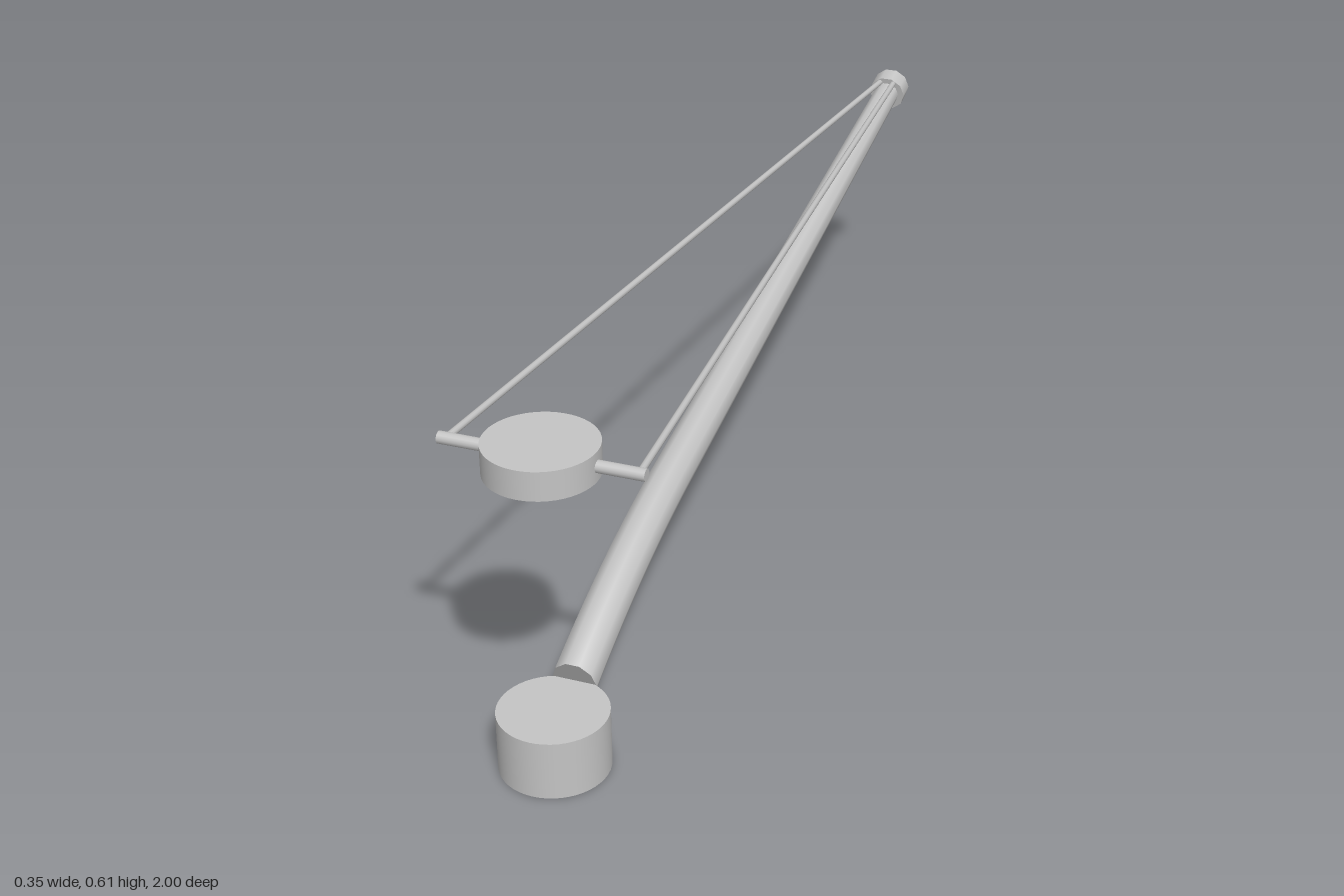
import * as THREE from 'three';

const grey = new THREE.MeshStandardMaterial({ color: 0xc4c4c4 });
grey.name = 'lightGrey';

function add(group, name, geometry) {
  const mesh = new THREE.Mesh(geometry, grey);
  mesh.name = name;
  group.add(mesh);
  return mesh;
}

// Round bar between two points
function bar(group, name, a, b, radius, sides) {
  const dir = b.clone().sub(a);
  const geo = new THREE.CylinderGeometry(radius, radius, dir.length(), sides, 1, false, Math.PI / 2);
  const mesh = add(group, name, geo);
  mesh.position.copy(a).add(b).multiplyScalar(0.5);
  mesh.quaternion.setFromUnitVectors(new THREE.Vector3(0, 1, 0), dir.normalize());
  return mesh;
}

// Tapered ten-sided boom: curved foot, then one long straight run
function boomGeometry() {
  const bend = new THREE.QuadraticBezierCurve3(
    new THREE.Vector3(0, 0.103, 0.82),
    new THREE.Vector3(0, 0.212, 0.6),
    new THREE.Vector3(0, 0.26, 0.35)
  );
  const tip = new THREE.Vector3(0, 0.512, -0.955);
  const rings = 12, tilt = 0.17;
  const geo = new THREE.CylinderGeometry(1, 1, 1, 10, rings, false, Math.PI / 2);
  geo.rotateX(-Math.PI / 2);
  const pos = geo.attributes.position, nor = geo.attributes.normal;
  const axisX = new THREE.Vector3(1, 0, 0), n = new THREE.Vector3();
  for (let i = 0; i < pos.count; i++) {
    const ring = Math.round((0.5 - pos.getZ(i)) * rings);
    const t = Math.min(ring / (rings - 1), 1);
    const c = ring < rings ? bend.getPoint(t) : tip;
    const r = THREE.MathUtils.mapLinear(c.z, 0.82, -0.955, 0.04, 0.026);
    const up = pos.getY(i) * r;
    pos.setXYZ(i, pos.getX(i) * r, c.y + up * Math.cos(tilt), c.z + up * Math.sin(tilt));
    // Turn the normals to follow the slope of the boom
    const d = bend.getTangent(t);
    n.fromBufferAttribute(nor, i).applyAxisAngle(axisX, Math.atan2(d.y, -d.z));
    nor.setXYZ(i, n.x, n.y, n.z);
  }
  return geo;
}

export function createModel() {
  const model = new THREE.Group();
  model.name = 'boomCrane';
  const v = (x, y, z) => new THREE.Vector3(x, y, z);
  const pivotZ = 0.907, pinY = 0.582;

  // Drums, one above the other
  add(model, 'base', new THREE.CylinderGeometry(0.094, 0.094, 0.107, 48)).position.set(0, 0.0535, pivotZ);
  add(model, 'upperDisc', new THREE.CylinderGeometry(0.094, 0.094, 0.051, 48)).position.set(0, pinY, pivotZ);

  // Boom and its end cap
  add(model, 'boom', boomGeometry());
  bar(model, 'boomCap', v(0, 0.511, -0.953), v(0, 0.519, -0.991), 0.039, 10);

  // Cross pin and the two stay rods
  bar(model, 'crossPin', v(-0.174, pinY, pivotZ), v(0.174, pinY, pivotZ), 0.0105, 16);
  for (const side of [1, -1]) {
    bar(model, side > 0 ? 'leftStay' : 'rightStay',
      v(side * 0.162, pinY, pivotZ), v(side * 0.014, 0.537, -0.96), 0.006, 10);
  }
  return model;
}
